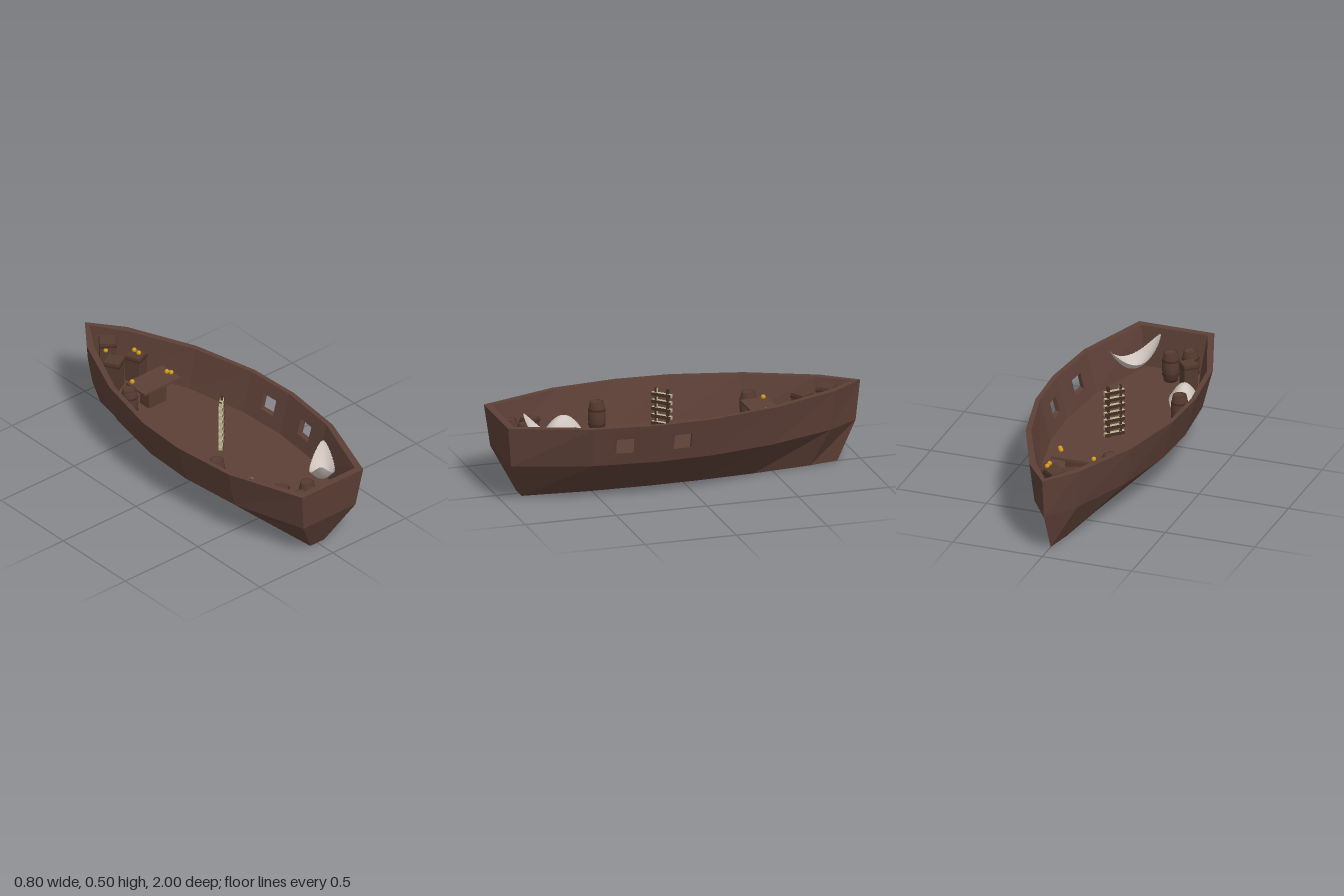
import * as THREE from 'three';

const mat = (name, color, extra = {}) => Object.assign(new THREE.MeshStandardMaterial({ color, ...extra }), { name });

export function createModel() {
  const wood = mat('hullBrown', 0x5d4037, { flatShading: true });
  const prop = mat('furnitureBrown', 0x553a30);
  const dark = mat('darkBrown', 0x452d25);
  const rope = mat('paleRungs', 0xb8b48e);
  const cloth = mat('cloth', 0xcfc5be, { side: THREE.DoubleSide });
  const gold = mat('gold', 0xd09a1c);
  const FLOOR = 0.21;

  const model = new THREE.Group();
  const add = (name, geo, m, x = 0, y = 0, z = 0, ry = 0, parent = model) => {
    const mesh = new THREE.Mesh(geo, m);
    mesh.name = name;
    mesh.position.set(x, y, z);
    mesh.rotation.y = ry;
    parent.add(mesh);
    return mesh;
  };

  // Hull outline: [z, half width] from the flat stern to the pointed bow
  const stations = [[1, 0.21], [0.58, 0.36], [0.22, 0.4], [-0.08, 0.385], [-0.45, 0.3], [-0.82, 0.14], [-1, 0]];
  const ring = (sx, inset, sz, y) => {
    const side = stations.map(([z, w]) => new THREE.Vector3(Math.max(0, w * sx - inset), y, z * sz));
    const mirrored = side.slice(0, -1).reverse().map(p => new THREE.Vector3(-p.x, p.y, p.z));
    return [...side, ...mirrored];
  };
  // Keel, chine, outer rim, inner rim, floor
  const rings = [
    ring(0.225, 0, 0.875, 0), ring(0.85, 0, 0.975, 0.215), ring(1, 0, 1, 0.435),
    ring(1, 0.025, 0.962, 0.435), ring(0.85, 0.027, 0.945, FLOOR)
  ];
  const pos = [];
  const tri = (...pts) => pts.forEach(p => pos.push(p.x, p.y, p.z));
  const quad = (a, b, c, d) => { tri(a, b, c); tri(a, c, d); };
  const n = rings[0].length;

  // Window openings in the left side: panel index -> [s0, s1]
  const windows = { 1: [0.33, 0.61], 2: [0.27, 0.6] };
  const patch = (lo, hi, i, s, t) =>
    lo[i].clone().lerp(lo[i + 1], s).lerp(hi[i].clone().lerp(hi[i + 1], s), t);
  const panelLoops = (lo, hi, i) => {
    const [s0, s1] = windows[i];
    const at = ([s, t]) => patch(lo, hi, i, s, t);
    return [[[0, 0], [1, 0], [1, 1], [0, 1]].map(at), [[s0, 0.3], [s1, 0.3], [s1, 0.68], [s0, 0.68]].map(at)];
  };

  for (let k = 0; k < 4; k++) {
    for (let i = 0; i < n; i++) {
      if (windows[i] && (k === 1 || k === 3)) continue;
      const j = (i + 1) % n;
      quad(rings[k][i], rings[k][j], rings[k + 1][j], rings[k + 1][i]);
    }
  }
  for (const i of Object.keys(windows).map(Number)) {
    const [oc, oh] = panelLoops(rings[1], rings[2], i);
    const [ic, ih] = panelLoops(rings[4], rings[3], i);
    for (let a = 0; a < 4; a++) {
      const b = (a + 1) % 4;
      quad(oc[a], oc[b], oh[b], oh[a]);
      quad(ic[b], ic[a], ih[a], ih[b]);
      quad(oh[a], oh[b], ih[b], ih[a]);
    }
  }
  // Floor and flat keel
  for (let i = 1; i < n - 1; i++) {
    tri(rings[4][0], rings[4][i], rings[4][i + 1]);
    tri(rings[0][0], rings[0][i + 1], rings[0][i]);
  }
  const hullGeo = new THREE.BufferGeometry();
  hullGeo.setAttribute('position', new THREE.Float32BufferAttribute(pos, 3));
  hullGeo.computeVertexNormals();
  add('hull', hullGeo, wood);

  // Ladder standing amidships, turned 45 degrees
  const ladder = new THREE.Group();
  ladder.name = 'ladder';
  ladder.position.set(0.008, 0, 0.092);
  ladder.rotation.y = Math.PI / 4;
  model.add(ladder);
  const railMats = [rope, rope, dark, dark, dark, dark];
  const rungMats = [rope, rope, rope, rope, dark, dark];
  for (const s of [-1, 1]) {
    add('ladderRail', new THREE.BoxGeometry(0.014, 0.5 - FLOOR, 0.014),
      s < 0 ? railMats : dark, s * 0.034, (0.5 + FLOOR) / 2, 0, 0, ladder);
  }
  for (let i = 0; i < 7; i++) {
    add('ladderRung', new THREE.BoxGeometry(0.115, 0.018, 0.022), rungMats, 0, 0.465 - i * 0.04, 0, 0, ladder);
  }

  // Barrels with dark hoops
  const barrelGeo = new THREE.LatheGeometry(
    [[0, 0], [0.036, 0], [0.044, 0.04], [0.047, 0.08], [0.044, 0.12], [0.036, 0.16], [0.031, 0.16], [0.03, 0.153], [0, 0.153]]
      .map(p => new THREE.Vector2(...p)), 16);
  const hoopGeo = new THREE.CylinderGeometry(0.0465, 0.0465, 0.012, 16, 1, true);
  for (const [x, z] of [[-0.17, -0.44], [-0.255, 0.365], [-0.12, 0.885], [-0.03, 0.83]]) {
    const barrel = new THREE.Group();
    barrel.name = 'barrel';
    barrel.position.set(x, FLOOR, z);
    model.add(barrel);
    add('barrelBody', barrelGeo, prop, 0, 0, 0, 0, barrel);
    for (const y of [0.04, 0.12]) add('barrelHoop', hoopGeo, dark, 0, y, 0, 0, barrel);
  }

  // Table on a block pedestal
  add('tableTop', new THREE.BoxGeometry(0.25, 0.014, 0.15), wood, 0.005, 0.341, -0.453);
  add('tablePedestal', new THREE.BoxGeometry(0.12, 0.125, 0.07), prop, 0.005, FLOOR + 0.0625, -0.453);

  // Crates: x, z, turn, size, top height
  const crates = [
    [-0.055, -0.7, 0.5, 0.085, 0.375], [0, -0.815, -0.65, 0.085, 0.42],
    [0.08, -0.68, 0.35, 0.085, 0.365], [-0.155, 0.765, 0.7, 0.075, 0.36]
  ];
  for (const [x, z, turn, size, top] of crates) {
    const h = top - FLOOR;
    add('crate', new THREE.BoxGeometry(size, h, size), prop, x, FLOOR + h / 2, z, turn);
    add('crateLidBand', new THREE.BoxGeometry(size + 0.006, 0.01, size + 0.006), dark, x, top - 0.02, z, turn);
  }

  // Small gold cups
  const cupGeo = new THREE.SphereGeometry(0.013, 10, 8);
  for (const [x, y, z] of [[-0.035, 0.38, -0.79], [0.085, 0.376, -0.7], [0.085, 0.376, -0.665],
    [-0.135, 0.29, -0.65], [-0.1, 0.358, -0.5], [0.1, 0.358, -0.455], [0.112, 0.358, -0.435]]) {
    add('goldCup', cupGeo, gold, x, y, z);
  }

  // Cloth sheets with frayed edges; rule(u, v) gives the height
  const sheet = (length, half, taper, rule) => {
    const geo = new THREE.PlaneGeometry(2, 2, 40, 10);
    const p = geo.attributes.position;
    for (let i = 0; i < p.count; i++) {
      const u = p.getX(i), v = p.getY(i);
      const fray = Math.abs(v) > 0.99 && Math.round((u + 1) * 20) % 2 ? 1.07 : 1;
      const w = half * Math.pow(Math.max(0, 1 - u * u), taper) + 0.004;
      p.setXYZ(i, u * length / 2, rule(u, v), -v * w * fray);
    }
    geo.computeVertexNormals();
    return geo;
  };
  add('hammock', sheet(0.3, 0.06, 0.75, (u, v) => 0.435 - 0.015 * u - (0.145 - 0.045 * v * v) * (1 - u * u)),
    cloth, 0.14, 0, 0.75, 0.83);
  add('clothPile', sheet(0.24, 0.068, 0.4, (u, v) => 0.225 + 0.11 * (1 - u * u) * (1 - 0.75 * v * v)),
    cloth, -0.2, 0, 0.57, -1.37);

  return model;
}
